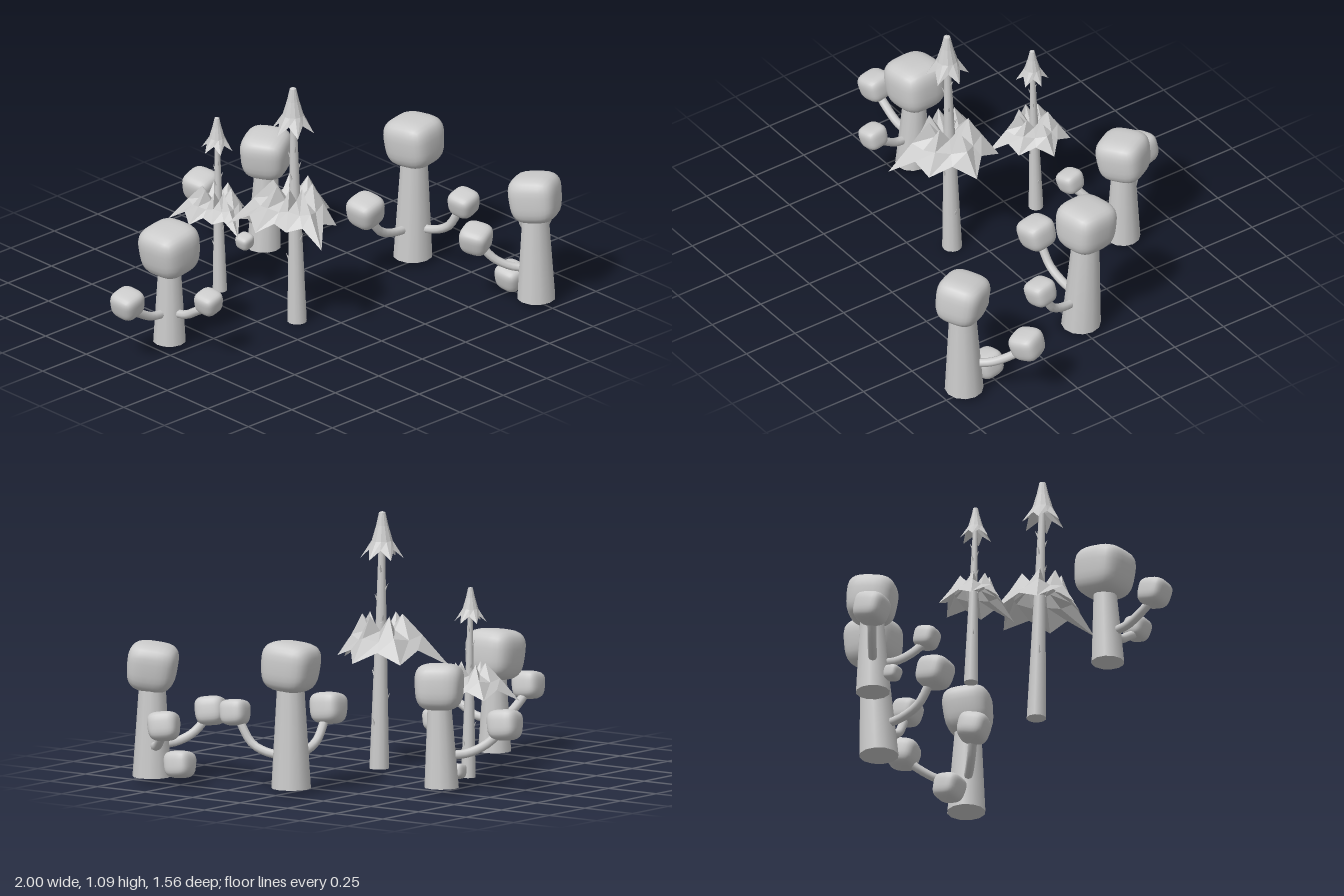
import * as THREE from 'three';
import { mergeVertices } from 'three/addons/utils/BufferGeometryUtils.js';

const mat = new THREE.MeshStandardMaterial({ color: 0xcccccc });
const thin = new THREE.MeshStandardMaterial({ color: 0xcccccc, side: THREE.DoubleSide, flatShading: true });

function add(parent, name, geo, material = mat) {
  const m = new THREE.Mesh(geo, material);
  m.name = name;
  parent.add(m);
  return m;
}

// Soft rounded cube: box vertices pushed onto a superellipsoid, narrower at the bottom
function softCube(hx, hy, hz, taper = 0.06) {
  let g = new THREE.BoxGeometry(2, 2, 2, 8, 8, 8);
  g.deleteAttribute('uv');
  g.deleteAttribute('normal');
  g = mergeVertices(g);
  const p = g.attributes.position, v = new THREE.Vector3(), e = 3.4;
  for (let i = 0; i < p.count; i++) {
    v.fromBufferAttribute(p, i);
    const n = Math.pow(Math.abs(v.x) ** e + Math.abs(v.y) ** e + Math.abs(v.z) ** e, 1 / e);
    v.divideScalar(n);
    const k = 1 + taper * v.y;
    p.setXYZ(i, v.x * hx * k, v.y * hy, v.z * hz * k);
  }
  g.computeVertexNormals();
  return g;
}

// Cylinder whose top is shifted sideways
function leaningTrunk(r0, r1, y0, y1, dx, dz, sides) {
  const g = new THREE.CylinderGeometry(r1, r0, y1 - y0, sides, 4);
  g.translate(0, (y1 - y0) / 2, 0);
  const p = g.attributes.position;
  for (let i = 0; i < p.count; i++) {
    const t = p.getY(i) / (y1 - y0);
    p.setXYZ(i, p.getX(i) + dx * t, p.getY(i) + y0, p.getZ(i) + dz * t);
  }
  return g;
}

// Round-crowned tree: base [x,z], crown [x,y,z], side tufts [x,y,z,radius,turn,hasBranch]
function roundTree({ base, r, crown, size, turn, tilt, tufts }) {
  const tree = new THREE.Group();
  tree.name = 'roundTree';
  const [bx, bz] = base, [cx, cy, cz] = crown;
  const trunk = add(tree, 'trunk', leaningTrunk(r, r * 0.66, 0.03, cy - 0.04, cx - bx, cz - bz, 12));
  trunk.position.set(bx, 0, bz);
  const top = add(tree, 'crown', softCube(...size));
  top.position.set(cx, cy, cz);
  top.rotation.set(tilt[0], turn, tilt[1]);
  for (const [x, y, z, tr, tTurn, hasBranch] of tufts) {
    const tuft = add(tree, 'sideTuft', softCube(tr, tr * 0.95, tr));
    tuft.position.set(x, y, z);
    tuft.rotation.set(0.12, tTurn, 0.2);
    if (!hasBranch) continue;
    const at = (t, h) => new THREE.Vector3(bx + (x - bx) * t, h, bz + (z - bz) * t);
    const path = new THREE.CatmullRomCurve3([at(0.1, 0.165), at(0.42, 0.175), at(0.7, 0.21), at(0.93, y - 0.03)]);
    const g = new THREE.TubeGeometry(path, 10, 0.019, 8);
    add(tree, 'branch', g);
  }
  return tree;
}

// Surface lofted through rings of equal point count
function loft(rings) {
  const pos = [], idx = [], n = rings[0].length;
  for (const ring of rings) for (const q of ring) pos.push(...q);
  for (let k = 0; k < rings.length - 1; k++) for (let i = 0; i < n; i++) {
    const a = k * n + i, b = k * n + (i + 1) % n;
    idx.push(a, a + n, b, b, a + n, b + n);
  }
  const g = new THREE.BufferGeometry();
  g.setAttribute('position', new THREE.Float32BufferAttribute(pos, 3));
  g.setIndex(idx);
  g.computeVertexNormals();
  return g;
}

// Star tips of the big skirt, [x, z] around the trunk, counter-clockwise from above
const TIPS = [[0.21, 0], [0.115, -0.18], [-0.17, -0.225], [-0.2, -0.02], [-0.13, 0.095], [-0.075, 0.255], [0.095, 0.165]];

function skirt() {
  const inner = [], rim = [], mid = [], outer = [];
  TIPS.forEach(([x, z], i) => {
    const [nx, nz] = TIPS[(i + 1) % TIPS.length];
    const spots = [[x, z, true], [(x + nx) * 0.42, (z + nz) * 0.42, false]];
    for (const [px, pz, tip] of spots) {
      const r = Math.hypot(px, pz), c = px / r, s = pz / r;
      const at = (q, y) => [c * q, y, s * q];
      inner.push(at(0.02, 0.56));
      rim.push(tip ? at(0.085, 0.655) : at(0.06, 0.59));
      mid.push(tip ? at(0.05 + r * 0.42, 0.565) : at(r * 0.75, 0.55));
      outer.push(tip ? at(r, 0.56 - r * 0.45) : at(r, 0.51));
    }
  });
  return loft([inner, rim, mid, outer]);
}

function topCap() {
  const profile = [[0.001, 1.09], [0.014, 1.085], [0.026, 1.03], [0.045, 0.965]];
  const n = 12;
  const ring = f => Array.from({ length: n }, (_, i) => {
    const a = -i / n * Math.PI * 2, [r, y] = f(i % 2 === 0);
    return [Math.cos(a) * r, y, Math.sin(a) * r];
  });
  return loft([...profile.map(q => ring(() => q)), ring(tip => tip ? [0.093, 0.89] : [0.06, 0.93])]);
}

// Spiky tree with star-shaped skirt, pointed cap and thorny stem
function spikyTree(x, z, s) {
  const tree = new THREE.Group();
  tree.name = 'spikyTree';
  const lean = y => -0.03 * y / 1.09;
  add(tree, 'trunk', leaningTrunk(0.042, 0.023, 0, 0.62, lean(0.62), 0.003, 12));
  const stem = add(tree, 'stem', leaningTrunk(0.023, 0.011, 0, 0.42, lean(0.42), 0.004, 10));
  stem.position.set(lean(0.62), 0.62, 0.003);
  add(tree, 'leafSkirt', skirt(), thin).position.set(lean(0.9), 0, 0.003);
  add(tree, 'leafCap', topCap(), thin).position.set(lean(1.05), 0, 0.006);
  for (let i = 0; i < 9; i++) {
    const y = i < 3 ? 0.2 + i * 0.1 : 0.64 + (i - 3) * 0.042, a = i * 2.4;
    const r = i < 3 ? 0.034 - i * 0.003 : 0.02 - (i - 3) * 0.001;
    const g = new THREE.ConeGeometry(0.007, 0.045, 5);
    g.rotateZ(-0.45);
    g.translate(r + 0.004, 0, 0);
    g.rotateY(a);
    add(tree, 'thorn', g).position.set(lean(y), y, 0.004);
  }
  tree.scale.setScalar(s);
  tree.position.set(x, 0.008, z);
  return tree;
}

export function createModel() {
  const model = new THREE.Group();
  model.name = 'treeGrove';

  const trees = [
    { base: [-0.68, -0.08], r: 0.07, crown: [-0.67, 0.445, -0.09], size: [0.112, 0.108, 0.11], turn: 0.06, tilt: [0, 0.12],
      tufts: [[-0.93, 0.28, -0.07, 0.062, 0.1, true], [-0.655, 0.27, 0.135, 0.052, 0.1, true]] },
    { base: [0.26, -0.505], r: 0.073, crown: [0.27, 0.458, -0.5], size: [0.102, 0.1, 0.1], turn: 0.5, tilt: [0, 0.12],
      tufts: [[0.09, 0.293, -0.71, 0.068, 0.2, true], [0.095, 0.285, -0.35, 0.05, 0.2, true], [0.15, 0.085, -0.505, 0.034, 0.1, false]] },
    { base: [0.655, -0.01], r: 0.084, crown: [0.675, 0.55, -0.022], size: [0.108, 0.106, 0.112], turn: 0.16, tilt: [-0.08, 0.05],
      tufts: [[0.363, 0.333, 0.012, 0.07, 0.1, true], [0.715, 0.336, 0.24, 0.058, 0.15, true]] },
    { base: [0.745, 0.655], r: 0.082, crown: [0.737, 0.495, 0.658], size: [0.1, 0.103, 0.104], turn: 0.5, tilt: [-0.14, 0],
      tufts: [[0.557, 0.302, 0.485, 0.064, 0.4, true], [0.925, 0.283, 0.457, 0.065, 0.4, true], [0.725, 0.09, 0.522, 0.06, 0.1, false]] },
  ];
  trees.forEach(t => model.add(roundTree(t)));

  model.add(spikyTree(-0.12, 0.107, 1), spikyTree(-0.145, -0.342, 0.74));
  return model;
}
